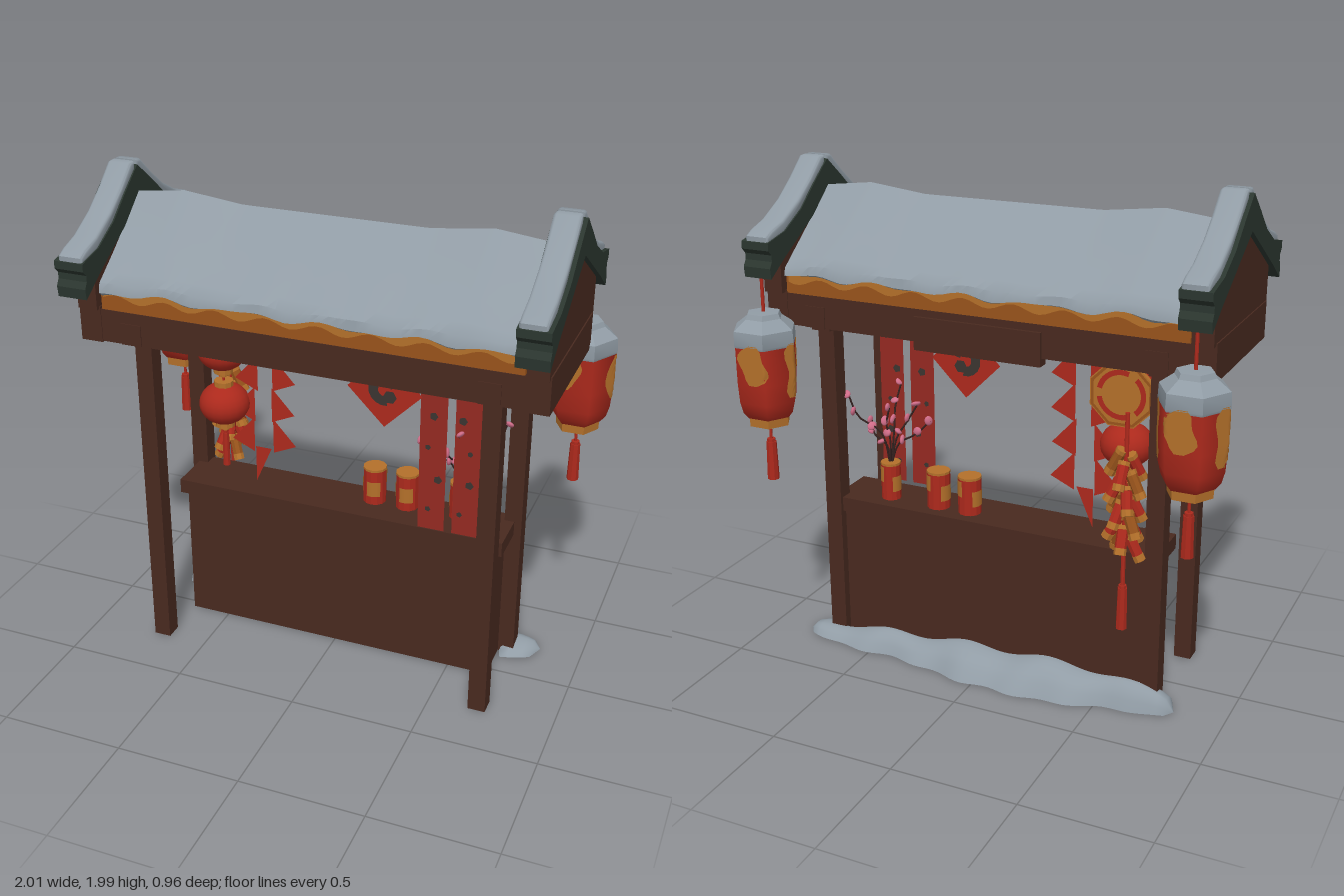
import * as THREE from 'three';
import { toCreasedNormals } from 'three/addons/utils/BufferGeometryUtils.js';

const paint = (name, color, side = THREE.FrontSide) => Object.assign(new THREE.MeshStandardMaterial({ color, side }), { name });
const V = (x, y, z) => new THREE.Vector3(x, y, z);
const flat = g => toCreasedNormals(g, 0.3);
const MID = 0.035; // ridge line in z

export function createModel() {
  const root = new THREE.Group();
  root.name = 'marketStall';
  const wood = paint('brown wood', 0x48291f), green = paint('dark green tile', 0x2b362f);
  const snow = paint('snow', 0x919ca5, THREE.DoubleSide), red = paint('lantern red', 0xac291c, THREE.DoubleSide);
  const paper = paint('paper red', 0x942921, THREE.DoubleSide), gold = paint('gold', 0xb3702a, THREE.DoubleSide);
  const amber = paint('dark amber', 0x98531b, THREE.DoubleSide), ink = paint('ink', 0x3a3430, THREE.DoubleSide);
  const pink = paint('blossom pink', 0xcf6c88), bark = paint('bark', 0x33201e);

  const add = (parent, name, geo, mat, x = 0, y = 0, z = 0) => {
    const m = new THREE.Mesh(geo, mat);
    m.name = name;
    m.position.set(x, y, z);
    parent.add(m);
    return m;
  };
  const group = (name, x = 0, y = 0, z = 0) => {
    const g = new THREE.Group();
    g.name = name;
    g.position.set(x, y, z);
    root.add(g);
    return g;
  };
  // Box given by its limits on each axis
  const box = (name, mat, x0, x1, y0, y1, z0, z1) =>
    add(root, name, new THREE.BoxGeometry(x1 - x0, y1 - y0, z1 - z0), mat, (x0 + x1) / 2, (y0 + y1) / 2, (z0 + z1) / 2);
  const poly = pts => new THREE.Shape(pts.map(p => new THREE.Vector2(...p)));
  // Extrude a (z, y) outline along x, centred on x = 0
  const alongX = (pts, width, bevel = 0) => {
    const g = new THREE.ExtrudeGeometry(poly(pts), {
      depth: width - 2 * bevel, bevelEnabled: bevel > 0, bevelSize: bevel, bevelThickness: bevel, bevelOffset: -bevel, bevelSegments: 3 });
    return g.translate(0, 0, bevel - width / 2).rotateY(-Math.PI / 2);
  };
  const mirror = half => [...half, ...half.slice().reverse().filter(p => p[0] !== 0).map(([d, y]) => [-d, y])];
  const rod = (parent, name, r, y0, y1, mat, x = 0, z = 0, sides = 8, rTop = r) =>
    add(parent, name, flat(new THREE.CylinderGeometry(rTop, r, y1 - y0, sides)), mat, x, (y0 + y1) / 2, z);
  // Upward grid bent by a rule
  const surface = (nu, nv, rule) => {
    const g = new THREE.PlaneGeometry(1, 1, nu, nv).rotateX(-Math.PI / 2), p = g.attributes.position;
    for (let i = 0; i < p.count; i++) p.setXYZ(i, ...rule(p.getX(i) + 0.5, p.getZ(i) + 0.5));
    g.computeVertexNormals();
    return g;
  };

  // Hollow counter, open at the floor
  box('counterFront', wood, -0.665, 0.665, 0, 0.57, 0.018, 0.038);
  box('counterBack', wood, -0.665, 0.665, 0, 0.57, -0.175, -0.155);
  box('counterTop', wood, -0.7, 0.7, 0.57, 0.63, -0.195, 0.04);

  // Counter sides, posts, post heads, cross beams and gable ends
  const bargeHalf = [[0, 1.975], [0.1, 1.895], [0.2, 1.81], [0.32, 1.745], [0.44, 1.72], [0.44, 1.69], [0.42, 1.67],
    [0.42, 1.645], [0.435, 1.62], [0.43, 1.578], [0.33, 1.645], [0, 1.84]];
  const bargeRing = [...bargeHalf, ...bargeHalf.slice(1, -1).reverse().map(([d, y]) => [-d, y])];
  const snowHalf = [[0.008, 1.955], [0.008, 1.99], [0.04, 1.988], [0.12, 1.915], [0.21, 1.845], [0.32, 1.785], [0.4, 1.76],
    [0.437, 1.74], [0.435, 1.712], [0.32, 1.735], [0.2, 1.8], [0.1, 1.885]];
  for (const s of [-1, 1]) {
    box('counterSide', wood, s * 0.655 - 0.01, s * 0.655 + 0.01, 0, 0.57, -0.155, 0.018);
    for (const [name, z] of [['frontPost', 0.245], ['backPost', -0.175]]) {
      box(name, wood, s * 0.695 - 0.035, s * 0.695 + 0.035, 0, 1.4, z - 0.035, z + 0.035);
    }
    for (const z of [0.336, -0.256]) box('postHead', wood, s * 0.7 - 0.042, s * 0.7 + 0.042, 1.37, 1.455, z - 0.02, z + 0.02);
    box('crossBeam', wood, s * 0.7 - 0.04, s * 0.7 + 0.04, 1.35, 1.45, -0.24, 0.31);
    box('gableBase', wood, s * 0.87 - 0.045, s * 0.87 + 0.045, 1.365, 1.51, -0.275, 0.355);
    add(root, 'gablePanel', alongX(mirror([[0, 1.86], [0.335, 1.66], [0.335, 1.5]]), 0.08), wood, s * 0.87, 0, MID);
    add(root, 'bargeboard', alongX(bargeRing, 0.12), green, s * 0.87, 0, MID);
    for (const f of [-1, 1]) {
      add(root, 'gableSnow', toCreasedNormals(alongX(snowHalf.map(([d, y]) => [d * f, y]), 0.1, 0.012), 0.8), snow, s * 0.865, 0, MID);
    }
  }
  box('frontBeam', wood, -0.84, 0.84, 1.37, 1.5, 0.295, 0.352);
  box('backBeam', wood, -0.84, 0.84, 1.37, 1.5, -0.272, -0.215);
  box('signBoard', wood, -0.26, 0.26, 1.34, 1.47, -0.285, -0.235);

  // Roof core, eaves and scalloped trim
  add(root, 'roofCore', alongX(mirror([[0, 1.82], [0.29, 1.56], [0.29, 1.46]]), 1.64), wood, 0, 0, MID);
  const wave = [];
  for (let i = 0; i <= 64; i++) wave.push([-0.81 + i * 1.62 / 64, 1.55 + 0.014 * Math.sin(i * 0.78)]);
  const trim = new THREE.ShapeGeometry(poly([[-0.81, 1.59], ...wave, [0.81, 1.59]]));
  for (const f of [-1, 1]) {
    const z = MID + f * 0.302;
    box('eave', amber, -0.82, 0.82, 1.5, 1.59, z - 0.012, z + 0.012);
    add(root, 'eaveTrim', trim, gold, 0, 0, z + f * 0.014);
  }

  // Snow blanket over the roof, creased at the ridge
  const slope = [[0, 1.868], [0.07, 1.808], [0.14, 1.747], [0.21, 1.69], [0.28, 1.635], [0.316, 1.605], [0.322, 1.572], [0.3, 1.567]];
  const ridgeWave = x => 0.028 * Math.max(0, 1 - Math.abs(Math.abs(x) - 0.61) / 0.24);
  add(root, 'roofSnow', toCreasedNormals(surface(48, 14, (u, v) => {
    const k = Math.round(v * 14) - 7, i = Math.abs(k), [d, y] = slope[i], x = (u - 0.5) * 1.63;
    const edge = i / 7, ripple = 0.013 * Math.sin(x * 19 + k) + 0.008 * Math.sin(x * 31);
    const flare = 1 + 0.05 * edge * Math.abs(x / 0.81) ** 6;
    return [x, y + ridgeWave(x) * (1 - edge) + ripple * edge ** 3, MID + Math.sign(k) * d * flare];
  }), 0.7), snow);

  // Snow drift along the foot of the counter
  add(root, 'groundSnow', surface(56, 10, (u, v) => {
    const x = -0.8 + 1.63 * u, taper = Math.max(0, Math.sin(Math.PI * u)) ** 0.3;
    const back = 0.1 + 0.055 * Math.exp(-(((x + 0.15) / 0.3) ** 2)) + 0.01 * Math.sin(x * 27) + 0.008 * Math.sin(x * 13);
    const h = 0.1 - 0.045 * x + 0.014 * Math.sin(x * 17);
    const inner = Math.abs(x) > 0.66 ? 0.17 : 0.035;
    return [x, h * taper * Math.sin(Math.PI * v) ** 0.7, -0.21 + taper * (v * 2 - 1) * (v < 0.5 ? back : inner)];
  }), snow);

  // Tassel hanging from a given height
  const tassel = (g, top, cord, len, r = 0.024) => {
    rod(g, 'tasselCord', 0.006, top - cord, top, red);
    rod(g, 'tasselKnot', r * 0.7, top - cord - 0.01, top - cord + 0.012, red);
    rod(g, 'tassel', r, top - cord - len, top - cord, red, 0, 0, 8, r * 0.85);
  };

  // Six-sided hanging lanterns with snow caps and painted patches
  const body = [[0.09, 1.02], [0.11, 1.045], [0.122, 1.09], [0.127, 1.17], [0.128, 1.345]];
  const radiusAt = y => {
    const i = Math.max(1, body.findIndex(p => p[1] >= y)), [r0, y0] = body[i - 1], [r1, y1] = body[i];
    return r0 + (r1 - r0) * (y - y0) / (y1 - y0);
  };
  const lathe = (pts, sides, start = 0) => new THREE.LatheGeometry(pts.map(p => new THREE.Vector2(...p)), sides, start);
  // Uneven patch lying on the body: centre angle in facets, centre height, half sizes
  const patchOn = (turn, yc, half, tall) => surface(16, 8, (u, v) => {
    const y = yc + tall * (1 - 2 * v), w = half * Math.sqrt(Math.max(0.1, 1 - Math.abs(2 * v - 1) ** 3));
    const f = turn + w * (2 * u - 1) + 0.1 * Math.sin(v * 7 + turn), a = (f - Math.floor(f) - 0.5) * Math.PI / 3;
    const phi = Math.PI / 6 + f * Math.PI / 3, r = (radiusAt(y) + 0.004) * Math.cos(Math.PI / 6) / Math.cos(a);
    return [r * Math.sin(phi), y, r * Math.cos(phi)];
  });
  const patches = [[-0.2, 1.26, 0.4, 0.075], [0.98, 1.22, 0.3, 0.11], [2.4, 1.25, 0.45, 0.08], [3.9, 1.22, 0.4, 0.11]];
  for (const s of [-1, 1]) {
    const g = group('hexLantern', s * 0.872, 0, -0.372);
    add(g, 'lanternBody', toCreasedNormals(lathe(body, 6, Math.PI / 6), 1.2), red);
    for (const [turn, ...rest] of patches) add(g, 'goldPatch', patchOn(s > 0 ? 5 - turn : turn, ...rest), gold);
    add(g, 'snowCap', toCreasedNormals(lathe([[0.128, 1.315], [0.132, 1.325], [0.129, 1.38], [0.076, 1.42], [0.068, 1.44], [0, 1.442]], 6, Math.PI / 6), 0.5), snow);
    add(g, 'lanternFoot', flat(lathe([[0, 0.985], [0.085, 0.985], [0.087, 1.022], [0, 1.022]], 6, Math.PI / 6)), gold);
    rod(g, 'hangingCord', 0.007, 1.44, 1.66, red);
    tassel(g, 0.985, 0.08, 0.16);
  }

  // Pair of round lanterns
  const balls = group('roundLanterns', -0.51, 0, -0.025);
  rod(balls, 'hangingCord', 0.006, 0.9, 1.4, red);
  for (const y of [1.235, 0.995]) {
    add(balls, 'roundLantern', new THREE.SphereGeometry(0.104, 20, 12).scale(1, 0.84, 1), red, 0, y, 0);
    for (const d of [-0.09, 0.09]) rod(balls, 'lanternCap', 0.04, y + d - 0.012, y + d + 0.012, gold, 0, 0, 10);
    rod(balls, 'capTip', 0.016, y - 0.12, y - 0.1, gold);
  }
  tassel(balls, 0.9, 0.04, 0.15, 0.016);

  // Octagonal medallion
  const medal = group('medallion', -0.545, 1.25, -0.19);
  add(medal, 'medallionDisc', flat(new THREE.CylinderGeometry(0.132, 0.132, 0.02, 8).rotateY(Math.PI / 8).rotateX(Math.PI / 2)), gold);
  for (const z of [-0.012, 0.012]) {
    for (const start of [0.2, 2.3, 4.4]) add(medal, 'medallionRing', new THREE.RingGeometry(0.076, 0.096, 10, 1, start, 1.7), red, 0, 0, z);
    add(medal, 'medallionRim', new THREE.RingGeometry(0.116, 0.127, 8, 1, Math.PI / 8), amber, 0, 0, z);
  }

  // Firecracker string, splayed outward and down
  const crackers = group('firecrackers', -0.585, 0, -0.235);
  rod(crackers, 'crackerCord', 0.009, 0.48, 1.2, red);
  for (let i = 0; i < 18; i++) {
    const a = i * 2.4, dir = V(Math.cos(a) * 0.5, -1, Math.sin(a) * 0.5).normalize();
    const c = new THREE.Group();
    c.name = 'firecracker';
    c.position.set(Math.cos(a) * 0.014, 1.06 - i * 0.0195, Math.sin(a) * 0.014).addScaledVector(dir, 0.06);
    c.quaternion.setFromUnitVectors(V(0, 1, 0), dir);
    crackers.add(c);
    rod(c, 'crackerTube', 0.022, -0.055, 0.055, i % 4 ? red : amber);
    rod(c, 'crackerBand', 0.0232, 0.03, 0.056, gold);
    rod(c, 'crackerBand', 0.0232, -0.056, -0.04, gold);
  }
  tassel(crackers, 0.55, 0.05, 0.17, 0.022);

  // Triangular paper pennants
  const pennant = new THREE.ShapeGeometry(poly([[-0.045, 0.08], [0.055, -0.03], [-0.045, -0.075]]));
  [[-0.415, 1.28, -1], [-0.42, 1.13, -1], [-0.435, 0.99, -1], [-0.44, 0.85, -1], [-0.265, 1.28, 1], [-0.265, 1.14, 1], [-0.27, 1.0, 1], [-0.265, 0.86, 1]]
    .forEach(([x, y, s]) => { add(root, 'pennant', pennant, red, x, y, -0.06).scale.x = s; });
  add(root, 'pennantTip', new THREE.ShapeGeometry(poly([[-0.39, 0.8], [-0.39, 0.64], [-0.32, 0.8]])), red, 0, 0, -0.06);

  // Paper diamond and two long paper banners
  const diamond = group('paperDiamond', 0.21, 1.205, 0.05);
  add(diamond, 'diamondSheet', new THREE.CircleGeometry(0.152, 4), red);
  for (const z of [-0.003, 0.003]) {
    add(diamond, 'inkSwirl', new THREE.RingGeometry(0.026, 0.066, 12, 1, 0.3, 4.6), ink, 0, 0.005, z);
    add(diamond, 'inkDot', new THREE.CircleGeometry(0.028, 6), ink, 0.022, -0.022, z);
  }
  for (const x of [0.41, 0.55]) {
    add(root, 'paperBanner', new THREE.PlaneGeometry(0.108, 0.73), paper, x, 1.005, 0.05);
    for (let i = 0; i < 5; i++) for (const z of [0.047, 0.053]) {
      add(root, 'inkSpot', new THREE.CircleGeometry(0.012 + (i % 2) * 0.006, 5), ink, x + 0.025 * Math.sin(i * 4 + x * 9), 0.73 + i * 0.135, z);
    }
  }

  // Painted jars on the counter
  for (const x of [0.12, 0.26, 0.48]) {
    const j = group('jar', x, 0.63, -0.105), r = x > 0.4 ? 0.04 : 0.047;
    rod(j, 'jarBody', r, 0, 0.15, red, 0, 0, 12);
    rod(j, 'jarRim', r + 0.001, 0.148, 0.158, gold, 0, 0, 12);
    for (let k = 0; k < 3; k++) {
      add(j, 'jarPatch', new THREE.CylinderGeometry(r + 0.002, r + 0.002, 0.065, 4, 1, true, k * 2.1 - 0.4, 1.2), gold, 0, 0.07 + (k % 2) * 0.04, 0);
    }
  }

  // Blossom branches
  const plant = group('blossomBranches', 0.48, 0.76, -0.105);
  [[-0.16, 0.21, 0.05], [0, 0.26, 0], [0.17, 0.3, -0.03], [0.03, 0.32, 0.16], [0.13, 0.16, 0.08], [-0.07, 0.25, 0.11]].forEach(([x, y, z], i) => {
    const curve = new THREE.CatmullRomCurve3([V(0, 0, 0), V(x * 0.2, y * 0.5, z * 0.3), V(x * 0.7 + 0.015, y * 0.7, z * 0.7), V(x, y, z)]);
    add(plant, 'branch', new THREE.TubeGeometry(curve, 10, 0.004, 5), bark);
    for (const t of [0.45, 0.75, 1]) {
      const p = curve.getPoint(t);
      const b = add(plant, 'blossom', new THREE.SphereGeometry(0.021, 12, 8).scale(1, 0.8, 0.45), pink, p.x + 0.008, p.y, p.z);
      b.rotation.set(i * 0.4, t * 4 + i, i + t * 5);
    }
  });
  return root;
}
